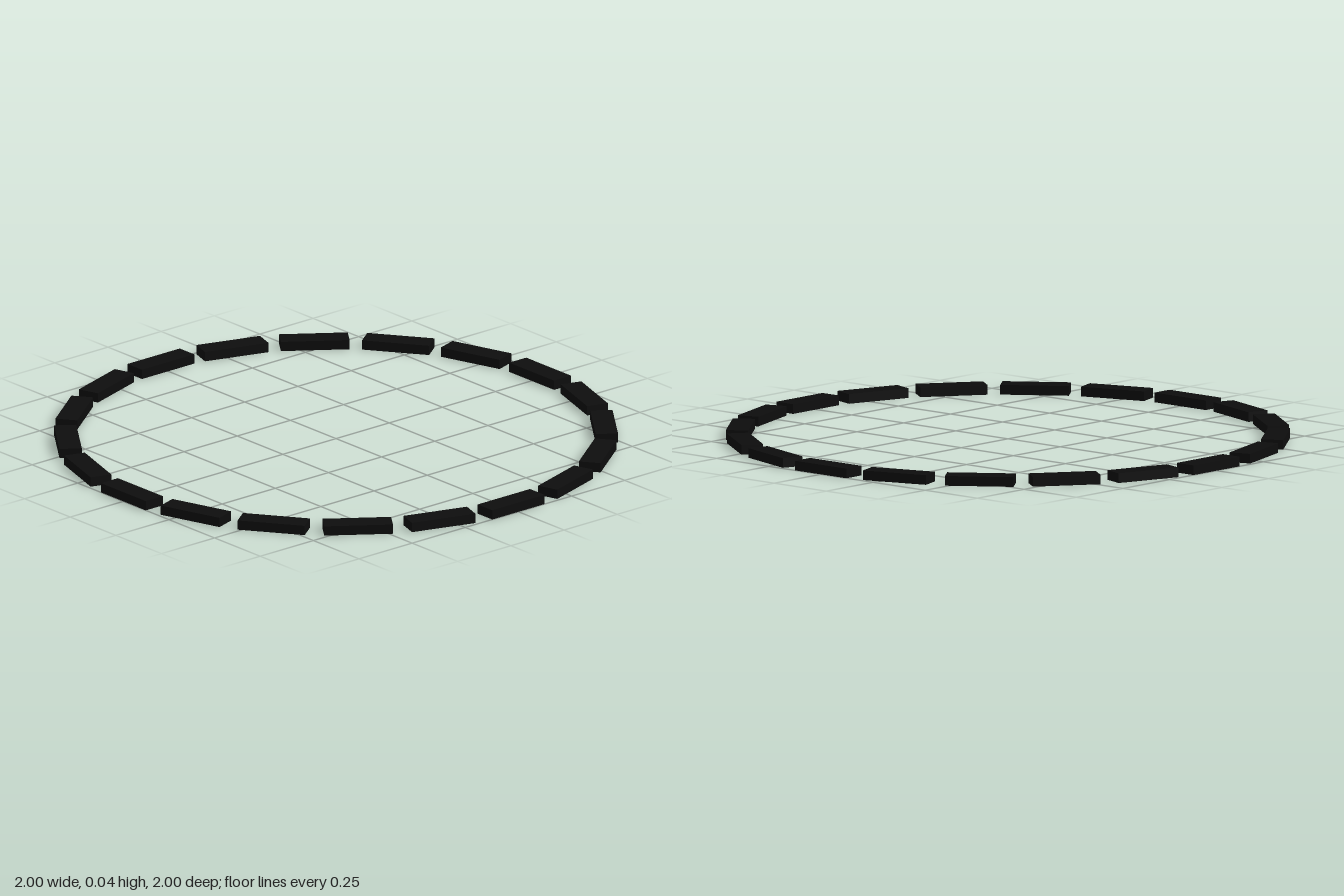
import * as THREE from 'three';

export function createModel() {
  const group = new THREE.Group();
  group.name = 'dashedRing';

  const count = 20;
  const length = 0.246, height = 0.035, width = 0.08;
  const radius = 1 - width / 2;

  const material = new THREE.MeshStandardMaterial({ color: 0x0d0d0d });
  const geometry = new THREE.BoxGeometry(length, height, width);

  // Flat bars laid tangentially around a circle, evenly spaced
  for (let i = 0; i < count; i++) {
    const angle = (i / count) * Math.PI * 2;
    const bar = new THREE.Mesh(geometry, material);
    bar.name = `ringSegment${i + 1}`;
    bar.position.set(Math.sin(angle) * radius, height / 2, Math.cos(angle) * radius);
    bar.rotation.y = angle;
    group.add(bar);
  }
  return group;
}
